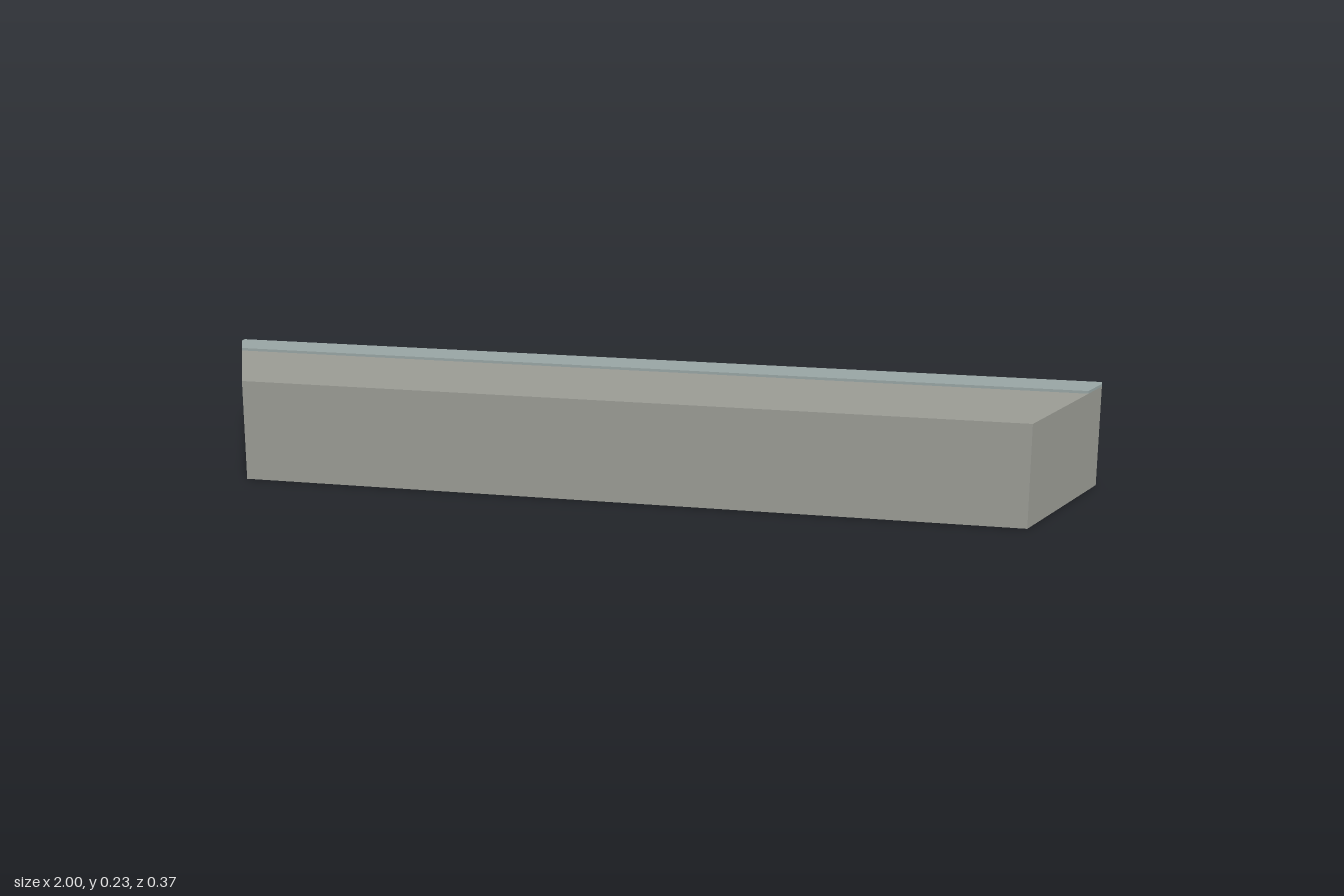
import * as THREE from 'three';

const bodyMat = new THREE.MeshStandardMaterial({ color: 0x9a9b94 });
const capMat = new THREE.MeshStandardMaterial({ color: 0x98a5a4 });
const screwMat = new THREE.MeshStandardMaterial({ color: 0x6f7776 });

const FRONT = 0.184, BACK = -0.157, LIP = -0.173;
// half width of the tapered plan at depth z
const halfWidth = z => THREE.MathUtils.mapLinear(z, BACK, FRONT, 1, 0.86);

// upright prism from a mirrored plan, given as [halfWidth, z] from back to front
function prism(name, plan, y0, y1, material) {
  const right = plan.map(([x, z]) => new THREE.Vector2(x, -z));
  const left = plan.map(([x, z]) => new THREE.Vector2(-x, -z)).reverse();
  const geo = new THREE.ExtrudeGeometry(new THREE.Shape([...right, ...left]), { depth: y1 - y0, bevelEnabled: false });
  geo.rotateX(-Math.PI / 2).translate(0, y0, 0);
  const mesh = new THREE.Mesh(geo, material);
  mesh.name = name;
  return mesh;
}

export function createModel() {
  const model = new THREE.Group();
  model.name = 'cappedBeam';

  // tapered main block
  model.add(prism('body', [[1, BACK], [halfWidth(FRONT), FRONT]], 0, 0.226, bodyMat));

  // angle strip: top plate plus lip hanging down the back
  const strip = new THREE.Group();
  strip.name = 'angleStrip';
  strip.add(prism('topPlate', [[1, BACK], [halfWidth(-0.087), -0.087]], 0.226, 0.232, capMat));
  strip.add(prism('backLip', [[1, LIP], [1, BACK]], 0.173, 0.232, capMat));
  model.add(strip);

  // row of screws through the lip: washer and hexagonal head
  for (const x of [-0.75, -0.25, 0.25, 0.75]) {
    const screw = new THREE.Group();
    screw.name = 'screw';
    const washer = new THREE.Mesh(new THREE.CylinderGeometry(0.009, 0.009, 0.003, 20), screwMat);
    washer.name = 'washer';
    washer.position.y = 0.0015;
    const head = new THREE.Mesh(new THREE.CylinderGeometry(0.0065, 0.0065, 0.007, 6), screwMat);
    head.name = 'screwHead';
    head.position.y = 0.0065;
    screw.add(washer, head);
    screw.rotation.x = -Math.PI / 2;
    screw.position.set(x, 0.187, LIP);
    model.add(screw);
  }
  return model;
}
